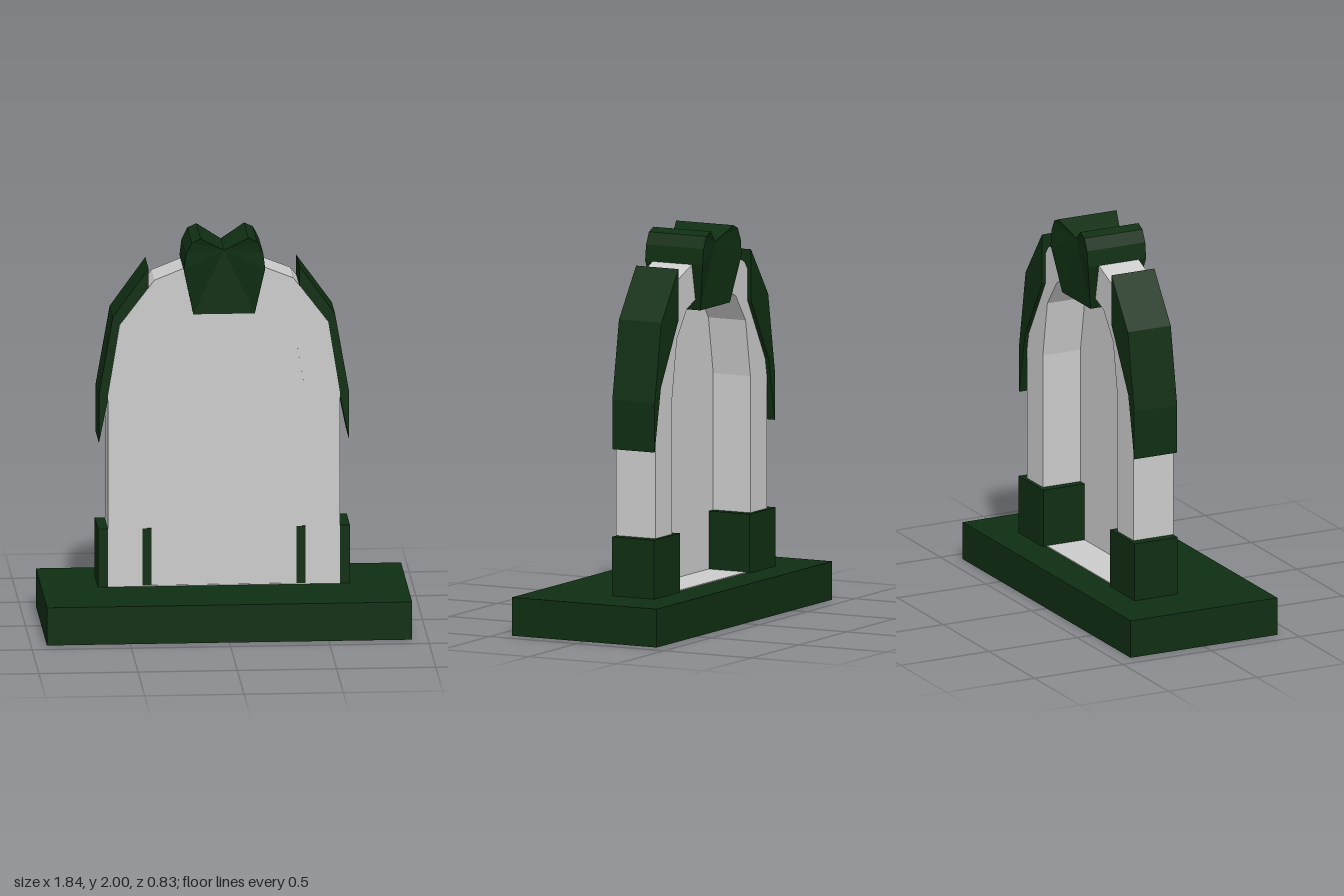
import * as THREE from 'three';

export function createModel() {
  const model = new THREE.Group();
  const grey = new THREE.MeshStandardMaterial({ color: 0xcccccc, flatShading: true });
  const green = new THREE.MeshStandardMaterial({ color: 0x0f2e12, flatShading: true });

  const add = (name, geometry, material) => {
    const mesh = new THREE.Mesh(geometry, material);
    mesh.name = name;
    model.add(mesh);
    return mesh;
  };
  const toPoints = (list) => list.map(([x, y]) => new THREE.Vector2(x, y));
  // Closed outline from the right-hand half of a symmetric arch
  const mirrored = (half) => [...half, ...half.map(([x, y]) => [-x, y]).reverse()];
  // Outline extruded between two z planes
  const slab = (outline, back, front, hole) => {
    const shape = new THREE.Shape(toPoints(outline));
    if (hole) shape.holes.push(new THREE.Path(toPoints(hole)));
    return new THREE.ExtrudeGeometry(shape, { depth: front - back, bevelEnabled: false })
      .translate(0, 0, back);
  };
  const box = (x0, x1, y0, y1, z0, z1) =>
    new THREE.BoxGeometry(x1 - x0, y1 - y0, z1 - z0)
      .translate((x0 + x1) / 2, (y0 + y1) / 2, (z0 + z1) / 2);

  // Plinth
  add('base', box(-0.92, 0.92, 0, 0.195, -0.415, 0.415), green);

  // Arched frame, open at the back, closed by a thin front panel
  const outer = mirrored([[0.585, 0.19], [0.585, 1.18], [0.525, 1.55], [0.35, 1.78], [0.2, 1.84]]);
  const inner = mirrored([[0.41, 0.2], [0.41, 1.19], [0.36, 1.48], [0.255, 1.62], [0.15, 1.66]]);
  add('archFrame', slab(outer, -0.225, 0, inner), grey);
  add('frontPanel', slab(inner, -0.012, -0.004), grey);

  // Feet and shoulder wings on both sides
  const wing = [[0.38, 1.84], [0.38, 1.58], [0.565, 1.26], [0.63, 0.94], [0.63, 1.19], [0.56, 1.59]];
  for (const [side, s] of [['left', 1], ['right', -1]]) {
    const x = [0.365 * s, 0.635 * s].sort((a, b) => a - b);
    add(side + 'Foot', box(x[0], x[1], 0.19, 0.495, -0.245, -0.002), green);
    add(side + 'Wing', slab(wing.map(([px, py]) => [px * s, py]), -0.245, -0.002), green);
  }

  // Flared, notched crest: each row is x, y, flare beyond the frame;
  // fans from the notch fill its front and back
  const half = [[0.155, 1.6, 0], [0.205, 1.84, 0.04], [0.195, 1.92, 0.04], [0.165, 1.98, 0.04], [0.12, 2, 0.04]];
  const ring = [[0, 1.6, 0], ...half, [0, 1.93, 0],
    ...half.map(([x, y, f]) => [-x, y, f]).reverse()];
  const n = ring.length;
  const notch = half.length + 1;
  const positions = [];
  for (const [x, y, f] of ring) positions.push(x, y, 0.002 + f);
  for (const [x, y, f] of ring) positions.push(x, y, -0.247 - f);
  const index = [];
  for (let i = 0; i < n; i++) {
    const j = (i + 1) % n;
    index.push(i, n + i, j, j, n + i, n + j);
    if (i !== notch && j !== notch) {
      index.push(notch, i, j, n + notch, n + j, n + i);
    }
  }
  const crest = new THREE.BufferGeometry();
  crest.setAttribute('position', new THREE.Float32BufferAttribute(positions, 3));
  crest.setIndex(index);
  const crestGeometry = crest.toNonIndexed();
  crestGeometry.computeVertexNormals();
  add('crest', crestGeometry, green);

  return model;
}
